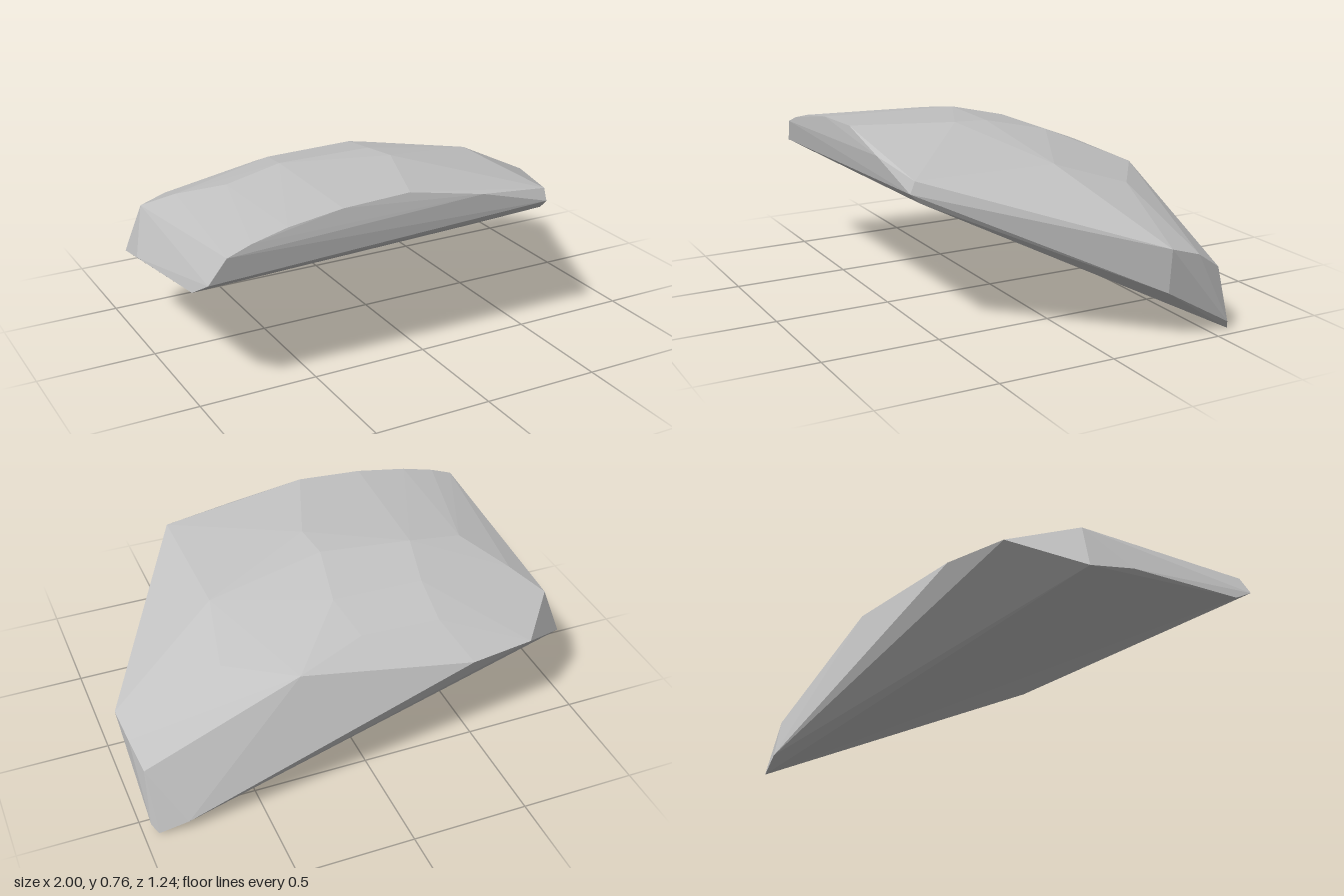
import * as THREE from 'three';
import { ConvexGeometry } from 'three/addons/geometries/ConvexGeometry.js';

// Low sloping boulder: a faceted hull around a few corner rings.
export function createModel() {
  const stone = new THREE.MeshStandardMaterial({ color: 0xc2c2c2, flatShading: true });
  stone.name = 'light grey stone';

  // underside corners, rising towards the front
  const base = [
    [0.94, 0, -0.59], [0.965, 0.04, -0.57], [0.82, 0.05, -0.62], [0.97, 0.21, -0.27],
    [0.51, 0.575, 0.58], [-0.99, 0.46, 0.45], [-0.97, 0.53, 0.57], [-0.98, 0.33, -0.36],
    [-1, 0.38, -0.15],
  ];
  // rim where the sides meet the top
  const rim = [
    [0.51, 0.615, 0.62], [0.51, 0.665, 0.6], [1, 0.4, -0.26], [0.985, 0.355, -0.4],
    [0.96, 0.28, -0.515], [0.3, 0.57, -0.525], [-0.43, 0.49, -0.61], [-0.72, 0.482, -0.56],
    [-0.91, 0.535, -0.33], [-0.9, 0.635, 0.59], [0.2, 0.7, 0.62],
  ];
  // gently domed top
  const crown = [
    [-0.8, 0.672, 0.59], [-0.65, 0.71, 0.59], [-0.42, 0.745, 0.595], [-0.13, 0.76, 0.6],
    [0.02, 0.761, 0.18], [0, 0.75, 0.02], [-0.4, 0.735, -0.02], [-0.65, 0.69, 0],
    [0.51, 0.66, -0.02], [0.57, 0.56, -0.33], [0.05, 0.693, -0.25], [-0.35, 0.685, -0.25],
    [0, 0.62, -0.43], [-0.35, 0.605, -0.43], [-0.8, 0.61, -0.2],
  ];

  const points = [...base, ...rim, ...crown].map((p) => new THREE.Vector3(...p));
  const boulder = new THREE.Mesh(new ConvexGeometry(points), stone);
  boulder.name = 'boulder';

  const group = new THREE.Group();
  group.name = 'rock';
  group.add(boulder);
  return group;
}
